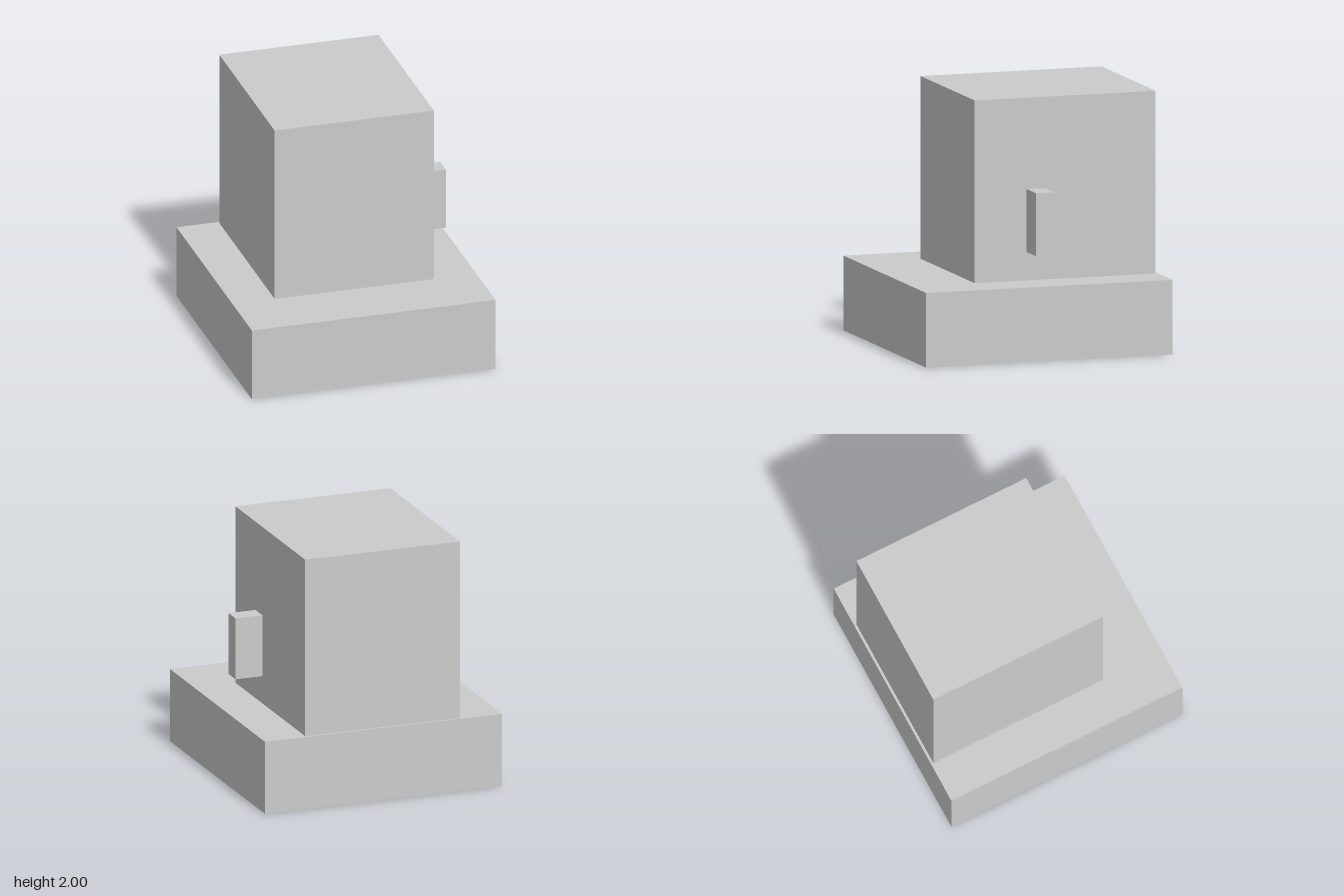
import * as THREE from 'three';

const material = new THREE.MeshStandardMaterial({ color: 0xcccccc, flatShading: true });

// Box given by its minimum and maximum corners
function block(name, min, max) {
  const size = max.map((v, i) => v - min[i]);
  const mesh = new THREE.Mesh(new THREE.BoxGeometry(...size), material);
  mesh.name = name;
  mesh.position.set(...max.map((v, i) => (v + min[i]) / 2));
  return mesh;
}

export function createModel() {
  const model = new THREE.Group();
  model.name = 'blockOnBase';
  model.add(
    // Wide base slab
    block('base', [-0.977, 0, -1], [0.977, 0.58, 1]),
    // Tall body, set towards the back of the base
    block('body', [-0.64, 0.58, -0.98], [0.637, 2, 0.49]),
    // Upright block on the left side
    block('sideHandle', [0.637, 0.8, -0.08], [0.86, 1.29, 0.067]),
  );
  return model;
}
